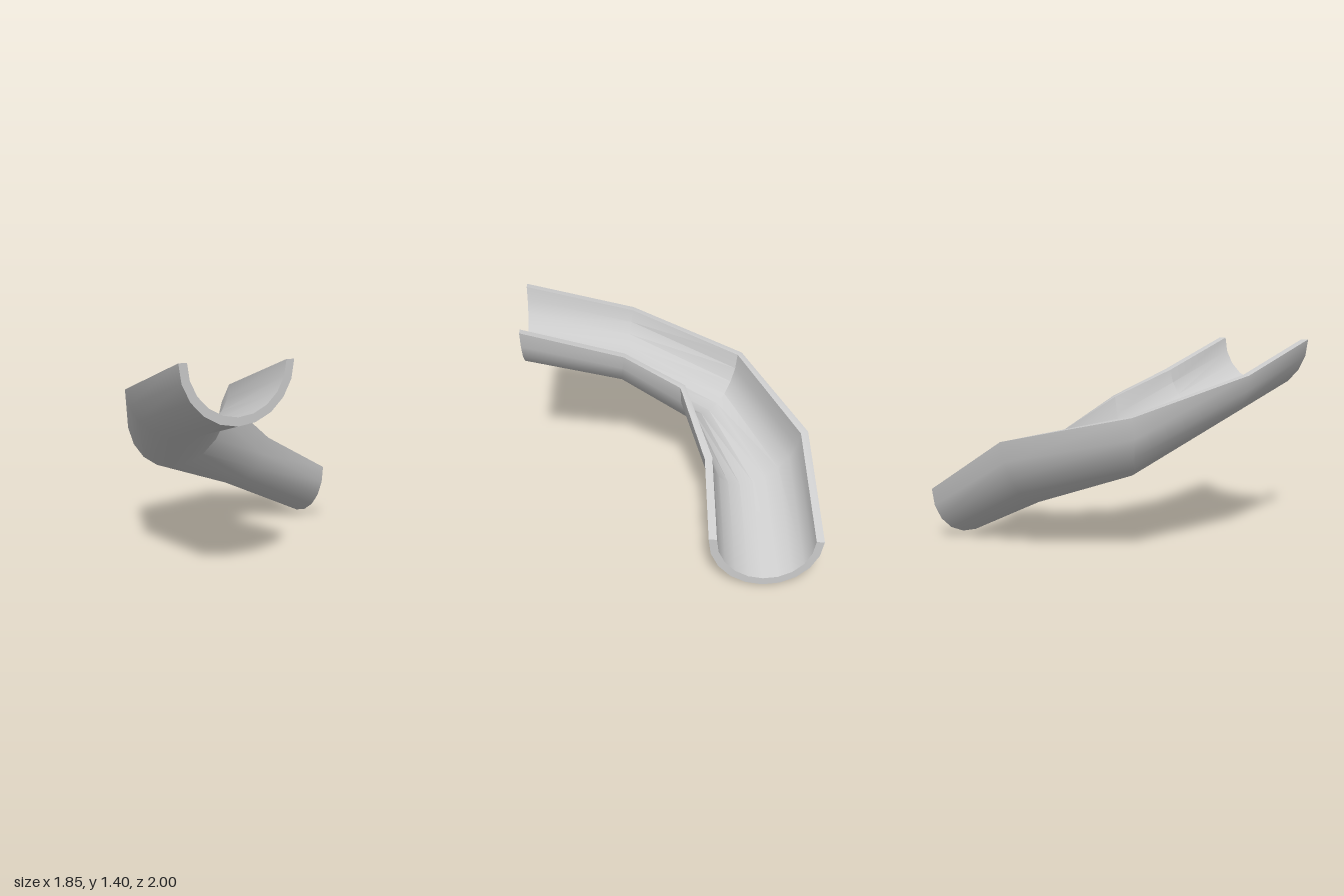
import * as THREE from 'three';
import { toCreasedNormals } from 'three/addons/utils/BufferGeometryUtils.js';

// Stations along the chute: right rim, left rim, lowest outer point
const STATIONS = [
  [[-0.155, 1.405, 1.0], [-0.925, 1.405, 1.0], [-0.54, 1.02, 1.0]],
  [[-0.155, 1.19, 0.29], [-0.925, 1.185, 0.2], [-0.54, 0.845, 0.29]],
  [[0.0, 1.02, -0.1], [-0.585, 0.95, -0.61], [-0.345, 0.53, -0.345]],
  [[0.42, 0.705, -0.24], [0.22, 0.765, -0.985], [0.25, 0.3, -0.61]],
  [[0.925, 0.43, -0.225], [0.925, 0.365, -1.0], [0.925, 0.0, -0.605]],
];
const SIDES = 10; // facets across the half pipe
const INNER = 0.858; // inner radius / outer radius

// Closed U-shaped ring: outer arc right to left, then inner arc back
function section([right, left, bottom]) {
  const r = new THREE.Vector3(...right);
  const l = new THREE.Vector3(...left);
  const centre = r.clone().add(l).multiplyScalar(0.5);
  const across = r.clone().sub(centre);
  const down = new THREE.Vector3(...bottom).sub(centre);
  const point = (k, scale) => {
    const a = (Math.PI * k) / SIDES;
    return centre.clone()
      .addScaledVector(across, Math.cos(a) * scale)
      .addScaledVector(down, Math.sin(a) * scale);
  };
  const ring = [];
  for (let k = 0; k <= SIDES; k++) ring.push(point(k, 1));
  for (let k = SIDES; k >= 0; k--) ring.push(point(k, INNER));
  return ring;
}

function chuteGeometry() {
  const rings = STATIONS.map(section);
  const n = rings[0].length;
  const positions = rings.flat().flatMap((p) => p.toArray());
  const index = [];

  // Walls and rims
  for (let s = 0; s < rings.length - 1; s++) {
    for (let i = 0; i < n; i++) {
      const j = (i + 1) % n;
      const a = s * n + i, b = s * n + j, c = a + n, d = b + n;
      index.push(a, b, c, c, b, d);
    }
  }

  // Cut faces at both ends
  const last = (rings.length - 1) * n;
  for (let k = 0; k < SIDES; k++) {
    const o = k, o2 = k + 1, i = n - 1 - k, i2 = n - 2 - k;
    index.push(o, i, o2, o2, i, i2);
    index.push(last + o, last + o2, last + i, last + o2, last + i2, last + i);
  }

  const geometry = new THREE.BufferGeometry();
  geometry.setAttribute('position', new THREE.Float32BufferAttribute(positions, 3));
  geometry.setIndex(index);
  return toCreasedNormals(geometry, THREE.MathUtils.degToRad(30));
}

export function createModel() {
  const group = new THREE.Group();
  group.name = 'curvedChute';
  const chute = new THREE.Mesh(
    chuteGeometry(),
    new THREE.MeshStandardMaterial({ color: 0xcccccc })
  );
  chute.name = 'halfPipe';
  group.add(chute);
  return group;
}
